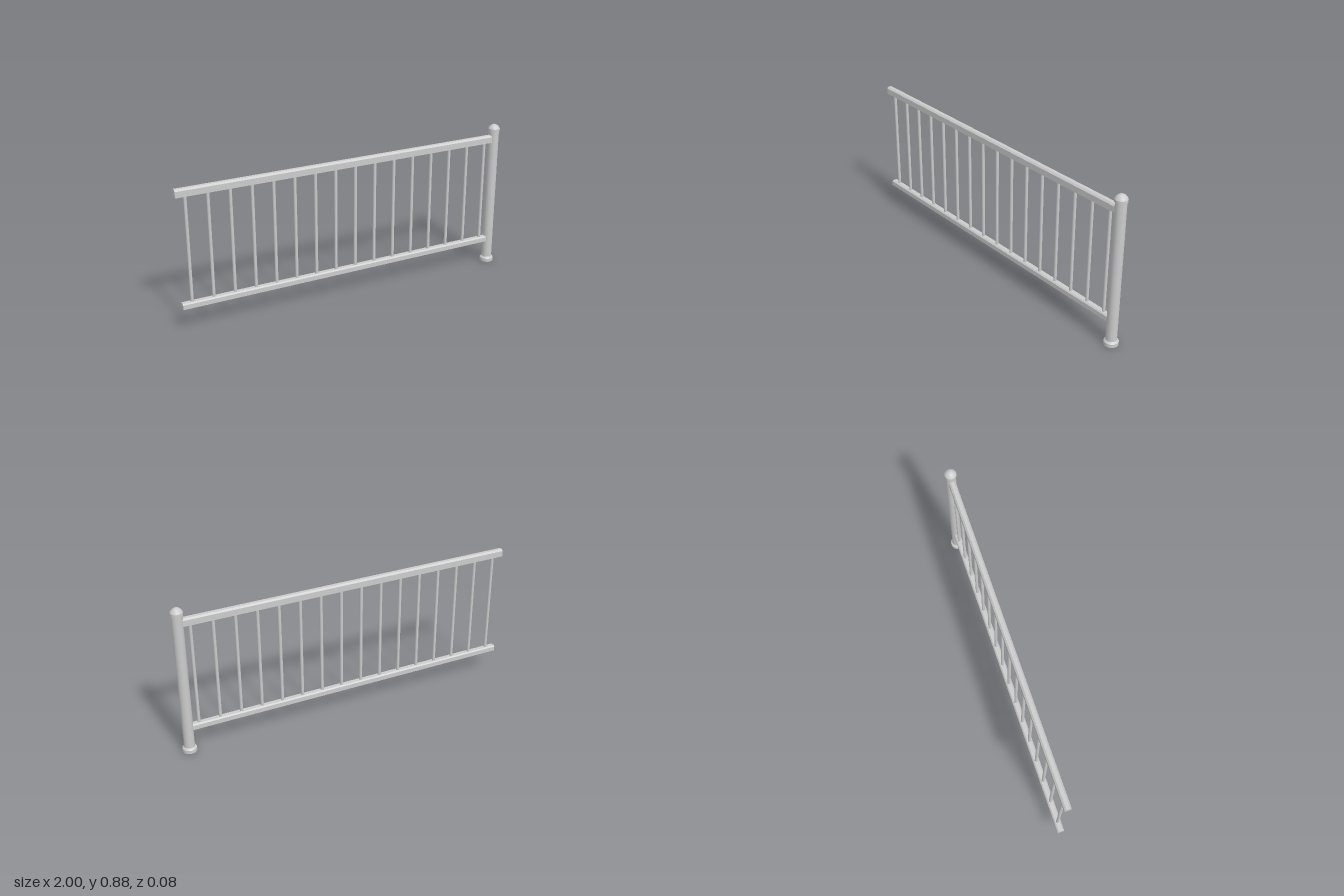
import * as THREE from 'three';

const material = new THREE.MeshStandardMaterial({ color: 0xcccccc });

function add(parent, name, geometry, x = 0, y = 0, z = 0) {
  const mesh = new THREE.Mesh(geometry, material);
  mesh.name = name;
  mesh.position.set(x, y, z);
  parent.add(mesh);
  return mesh;
}

// Rail with chamfered top edges, running along x
function railGeometry(x0, x1, bottom, top, half, chamfer) {
  const shape = new THREE.Shape([
    [-half, bottom], [half, bottom], [half, top - chamfer],
    [half - chamfer, top], [chamfer - half, top], [-half, top - chamfer],
  ].map(([z, y]) => new THREE.Vector2(z, y)));
  const geometry = new THREE.ExtrudeGeometry(shape, { depth: x1 - x0, bevelEnabled: false });
  return geometry.rotateY(Math.PI / 2).translate(x0, 0, 0);
}

// Lathe with separate segments so the profile edges stay crisp
function turned(parent, name, profile, x) {
  const group = new THREE.Group();
  group.name = name;
  for (let i = 0; i < profile.length - 1; i++) {
    const points = [profile[i], profile[i + 1]].map(([r, y]) => new THREE.Vector2(r, y));
    add(group, name + 'Band', new THREE.LatheGeometry(points, 24), x);
  }
  parent.add(group);
}

export function createModel() {
  const railing = new THREE.Group();
  railing.name = 'railing';
  const postX = 0.96;

  // Horizontal rails
  add(railing, 'topRail', railGeometry(-1, 0.94, 0.77, 0.813, 0.019, 0.009));
  add(railing, 'bottomRail', railGeometry(-1, 0.94, 0.135, 0.168, 0.019, 0.007));

  // Evenly spaced balusters
  const balusters = new THREE.Group();
  balusters.name = 'balusters';
  railing.add(balusters);
  const balusterGeometry = new THREE.CylinderGeometry(0.009, 0.009, 0.63, 12, 1, true);
  for (let i = 0; i < 16; i++) {
    add(balusters, 'baluster', balusterGeometry, -0.943 + i * 0.1225, 0.469);
  }

  // End post with flared foot and domed cap
  add(railing, 'post', new THREE.CylinderGeometry(0.03, 0.03, 0.81, 24, 1, true), postX, 0.432);
  turned(railing, 'postFoot', [[0, 0], [0.04, 0], [0.04, 0.02], [0.03, 0.03]], postX);
  turned(railing, 'postCapCollar', [[0.028, 0.835], [0.034, 0.835], [0.034, 0.852]], postX);
  const dome = [[0.034, 0.852], [0.029, 0.861], [0.019, 0.871], [0.009, 0.876], [0, 0.877]];
  add(railing, 'postCapDome',
    new THREE.LatheGeometry(dome.map(([r, y]) => new THREE.Vector2(r, y)), 24), postX);

  return railing;
}
